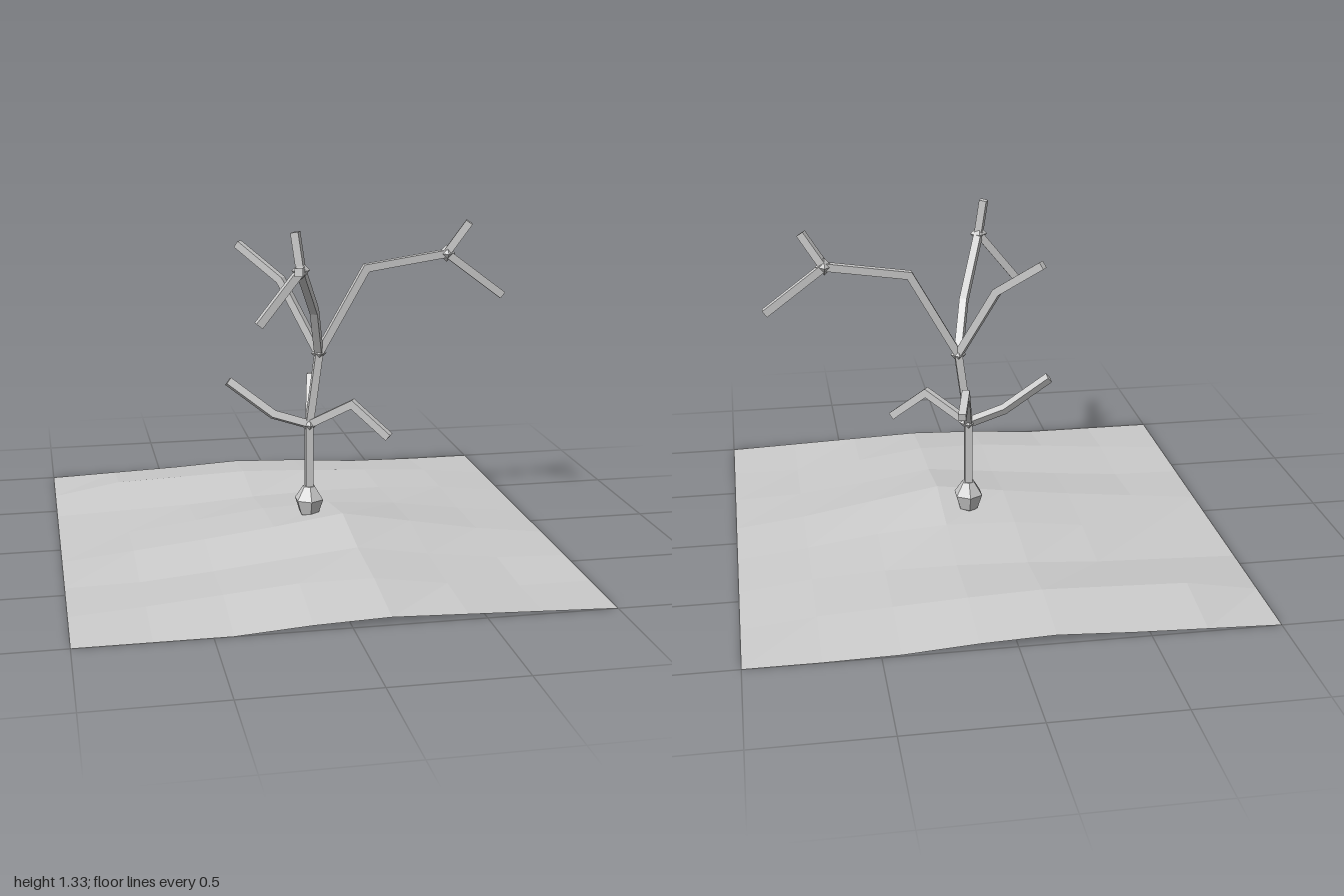
import * as THREE from 'three';

const bark = new THREE.MeshStandardMaterial({ color: 0xcccccc, flatShading: true });
const soil = new THREE.MeshStandardMaterial({ color: 0xcccccc, flatShading: true, side: THREE.DoubleSide });
const V = (p) => new THREE.Vector3(...p);

// Square bar swept along a bent path, mitred at the bends and capped at both ends
function limbGeometry(path, half) {
  const pts = path.map(V);
  const dirs = pts.slice(1).map((p, i) => p.clone().sub(pts[i]).normalize());
  const side = dirs.length > 1
    ? dirs[0].clone().cross(dirs[1])
    : dirs[0].clone().cross(new THREE.Vector3(0, 1, 0));
  side.normalize();

  const position = [], index = [];
  pts.forEach((p, i) => {
    const before = dirs[Math.max(i - 1, 0)];
    const after = dirs[Math.min(i, dirs.length - 1)];
    const t = before.clone().add(after).normalize();
    const n = t.clone().cross(side).normalize();
    const mitre = 1 / t.dot(before);
    for (const [a, b] of [[1, -1], [1, 1], [-1, 1], [-1, -1]]) {
      const c = p.clone().addScaledVector(side, a * half).addScaledVector(n, b * half * mitre);
      position.push(c.x, c.y, c.z);
    }
  });
  for (let i = 0; i < dirs.length; i++) {
    for (let j = 0; j < 4; j++) {
      const a = i * 4 + j, b = i * 4 + (j + 1) % 4;
      index.push(a, b, b + 4, a, b + 4, a + 4);
    }
  }
  const e = dirs.length * 4;
  index.push(0, 2, 1, 0, 3, 2, e, e + 1, e + 2, e, e + 2, e + 3);

  const g = new THREE.BufferGeometry();
  g.setAttribute('position', new THREE.Float32BufferAttribute(position, 3));
  g.setIndex(index);
  const flat = g.toNonIndexed();
  flat.computeVertexNormals();
  return flat;
}

// Hilly square of ground: rows run back to front, columns run along +x
function groundGeometry() {
  const heights = [
    [0, .01, .02, .035, .025, .005, 0, 0],
    [0, .05, .06, .07, .06, .045, .03, 0],
    [0, .01, .02, .04, .05, .05, .035, 0],
    [0, .01, .045, .08, .09, .07, .03, 0],
    [0, .03, .06, .095, .135, .085, .035, 0],
    [0, .005, .03, .06, .09, .045, .01, 0],
    [0, .02, .045, .07, .07, .03, 0, 0],
    [0, 0, 0, .02, .03, .02, .01, 0],
  ].flat();
  const g = new THREE.PlaneGeometry(2, 2, 7, 7).rotateX(-Math.PI / 2);
  heights.forEach((h, i) => g.attributes.position.setY(i, h));
  g.computeVertexNormals();
  return g;
}

export function createModel() {
  const model = new THREE.Group();
  model.name = 'bareTree';
  const add = (name, geometry, material = bark) => {
    const mesh = new THREE.Mesh(geometry, material);
    mesh.name = name;
    model.add(mesh);
    return mesh;
  };

  add('ground', groundGeometry(), soil);

  // Faceted root bulb, poking slightly through the ground
  const profile = [[0, .06], [.042, .1], [.062, .16], [.026, .215], [0, .215]];
  add('rootBulb', new THREE.LatheGeometry(profile.map(([r, y]) => new THREE.Vector2(r, y)), 6))
    .position.x = .03;

  // Branching points
  const low = [.03, .48, 0], high = [.07, .78, 0];
  const leftFork = [.6, 1.175, 0], frontFork = [-.07, 1.185, .355];

  const limbs = {
    trunk: [[.03, .2, 0], low, high],
    lowRightBranch: [low, [-.12, .53, 0], [-.3, .67, -.033]],
    lowFrontBranch: [low, [.19, .585, .1], [.325, .46, .178]],
    lowBackBranch: [low, [.058, .65, -.12], [.097, .617, -.28]],
    highLeftBranch: [high, [.265, 1.125, 0], leftFork],
    highBackBranch: [high, [-.07, 1.07, -.1], [-.23, 1.205, -.215]],
    highFrontBranch: [high, [.03, .975, .11], frontFork],
    leftTwigDown: [leftFork, [.84, .995, 0]],
    leftTwigUp: [leftFork, [.685, 1.305, .03]],
    frontTwigOut: [frontFork, [-.122, 1.218, .59]],
    frontTwigUp: [frontFork, [-.09, 1.33, .345]],
    frontTwigDown: [frontFork, [-.235, .98, .368]],
  };
  for (const [name, path] of Object.entries(limbs)) add(name, limbGeometry(path, .0155));

  // Slightly swollen joints where limbs meet
  for (const [i, p] of [low, high, leftFork, frontFork].entries()) {
    add(`joint${i + 1}`, new THREE.OctahedronGeometry(i === 1 ? .032 : .036)).position.set(...p);
  }
  return model;
}
